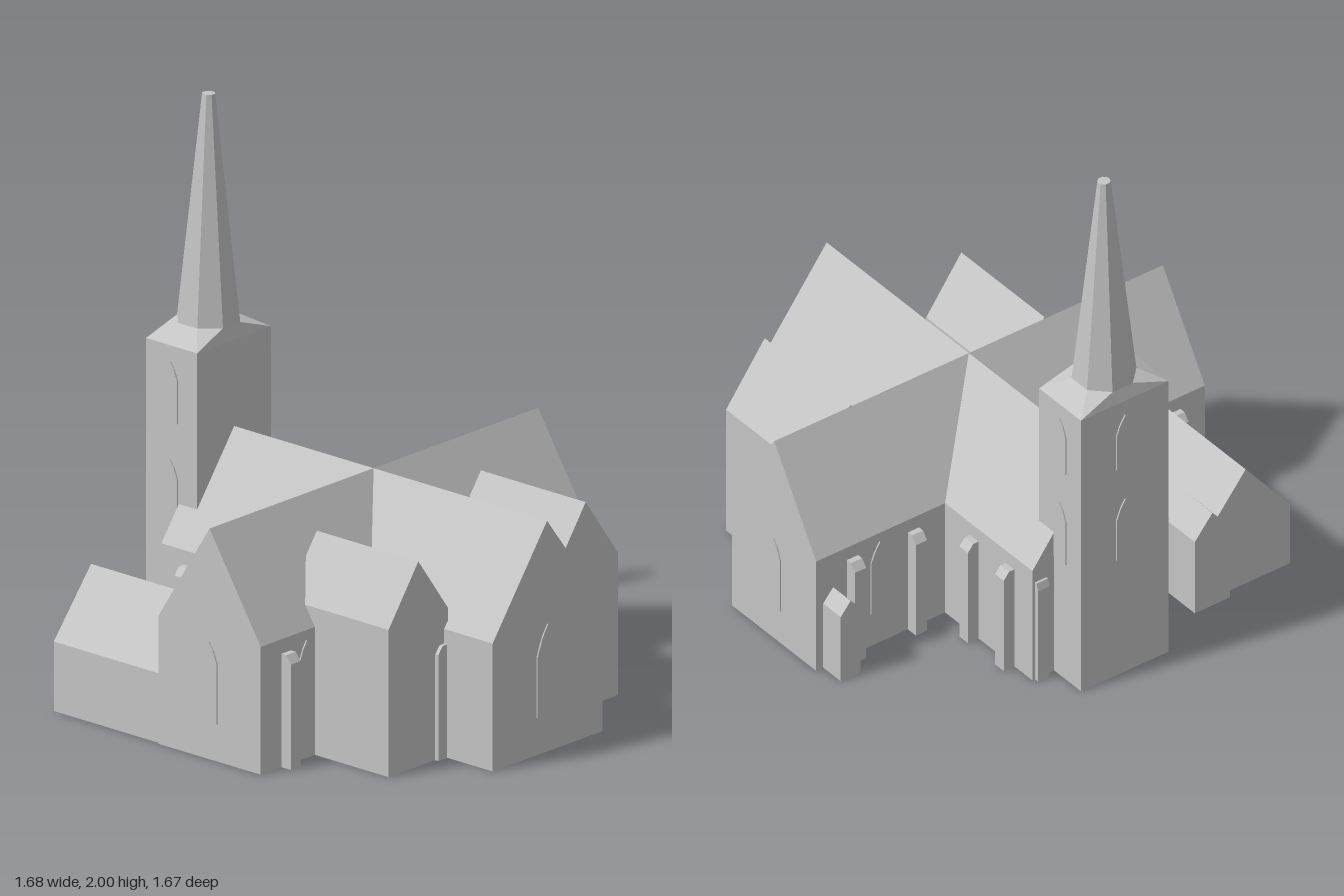
import * as THREE from 'three';
import { ConvexGeometry } from 'three/addons/geometries/ConvexGeometry.js';

export function createModel() {
  const church = new THREE.Group();
  church.name = 'church';
  const stone = new THREE.MeshStandardMaterial({ color: 0xc4c4c4 });
  stone.name = 'paleStone';
  stone.flatShading = true;

  function add(name, geometry) {
    const mesh = new THREE.Mesh(geometry, stone);
    mesh.name = name;
    church.add(mesh);
    return mesh;
  }

  function extrude(points, depth) {
    const shape = new THREE.Shape(points.map(([x, y]) => new THREE.Vector2(x, y)));
    return new THREE.ExtrudeGeometry(shape, { depth, bevelEnabled: false });
  }

  // Gabled block: cross-section from a to b with eaves and ridge, run from start to end
  function gabled(name, axis, a, b, eave, ridge, start, end, mid = (a + b) / 2) {
    const s = axis === 'x' ? -1 : 1;
    const profile = [[a, 0], [b, 0], [b, eave], [mid, ridge], [a, eave]].map(([u, y]) => [s * u, y]);
    const geometry = extrude(profile, end - start);
    geometry.translate(0, 0, start);
    if (axis === 'x') geometry.rotateY(Math.PI / 2);
    return add(name, geometry);
  }

  // Main cross of the building
  gabled('nave', 'x', -0.28, 0.275, 0.46, 0.83, -0.685, 0.832, 0);
  gabled('transept', 'z', -0.197, 0.272, 0.46, 0.83, -0.83, 0.828);

  // Side chapels and lower wing
  gabled('frontChapel', 'x', 0.255, 0.555, 0.53, 0.737, 0.145, 0.61);
  gabled('backChapel', 'x', -0.587, -0.258, 0.51, 0.737, 0.145, 0.625);
  gabled('lowWing', 'x', 0.443, 0.82, 0.25, 0.48, -0.683, -0.15);

  // Small porches
  gabled('wingPorch', 'x', 0.39, 0.54, 0.3, 0.39, -0.715, -0.565);
  gabled('transeptPorch', 'x', -0.8, -0.715, 0.27, 0.32, -0.295, -0.18);

  // Tower, skirt roof and octagonal spire
  const tx = -0.718, halfX = 0.117, halfZ = 0.187, towerTop = 1.14, skirtTop = 1.19;
  const tower = new THREE.BoxGeometry(halfX * 2, towerTop, halfZ * 2);
  add('tower', tower).position.set(tx, towerTop / 2, 0);

  const skirt = [];
  for (const sx of [-1, 1]) {
    for (const sz of [-1, 1]) skirt.push(new THREE.Vector3(sx * halfX, towerTop, sz * halfZ));
  }
  for (let i = 0; i < 8; i++) {
    const a = Math.PI / 8 + (i * Math.PI) / 4;
    skirt.push(new THREE.Vector3(0.114 * Math.cos(a), skirtTop, 0.114 * Math.sin(a)));
  }
  add('skirtRoof', new ConvexGeometry(skirt)).position.x = tx;

  const spire = new THREE.CylinderGeometry(0.0235, 0.114, 2 - skirtTop, 8);
  spire.rotateY(Math.PI / 8);
  add('spire', spire).position.set(tx, (2 + skirtTop) / 2, 0);

  // Buttress with a sloped head; turn aims it outward from the wall
  function buttress(x, z, turn, reach = 0.045) {
    const geometry = extrude(
      [[-0.02, 0], [reach, 0], [reach, 0.38], [reach * 0.5, 0.408], [-0.02, 0.408]], 0.048);
    geometry.translate(0, 0, -0.024);
    const mesh = add('buttress', geometry);
    mesh.position.set(x, 0, z);
    mesh.rotation.y = turn;
  }
  const east = 0, north = Math.PI / 2, west = Math.PI, south = -Math.PI / 2;
  for (const x of [-0.56, -0.36, 0.6]) {
    buttress(x, 0.275, south);
    if (x < 0) buttress(x, -0.28, north);
  }
  for (const z of [-0.675, -0.415, 0.44, 0.7]) buttress(-0.197, z, west);
  for (const z of [-0.675, 0.7]) buttress(0.272, z, east);
  buttress(-0.685, -0.245, west, 0.018);

  // Pointed window as a thin plate; turn 0 faces the front
  function pointedWindow(x, y, z, turn, w = 0.075, h = 0.29) {
    const s = h - w;
    const geometry = extrude(
      [[-w / 2, 0], [w / 2, 0], [w / 2, s], [w * 0.27, h - w * 0.42], [0, h],
        [-w * 0.27, h - w * 0.42], [-w / 2, s]], 0.005);
    const mesh = add('pointedWindow', geometry);
    mesh.position.set(x, y, z);
    mesh.rotation.y = turn;
  }
  const right = Math.PI / 2, back = Math.PI, left = -Math.PI / 2;
  pointedWindow(0.037, 0.135, 0.828, 0);
  pointedWindow(0.037, 0.135, -0.83, back);
  pointedWindow(0.832, 0.135, 0, right, 0.106, 0.325);
  pointedWindow(0.272, 0.135, 0.6, right);
  pointedWindow(0.272, 0.135, -0.725, right, 0.068);
  pointedWindow(-0.197, 0.135, -0.56, left);
  for (const [y, h] of [[0.865, 0.22], [0.485, 0.245]]) {
    pointedWindow(tx - 0.003, y, halfZ, 0, 0.065, h);
    pointedWindow(tx - 0.003, y, -halfZ, back, 0.065, h);
    pointedWindow(tx - halfX, y, 0, left, 0.075, h);
  }

  return church;
}
